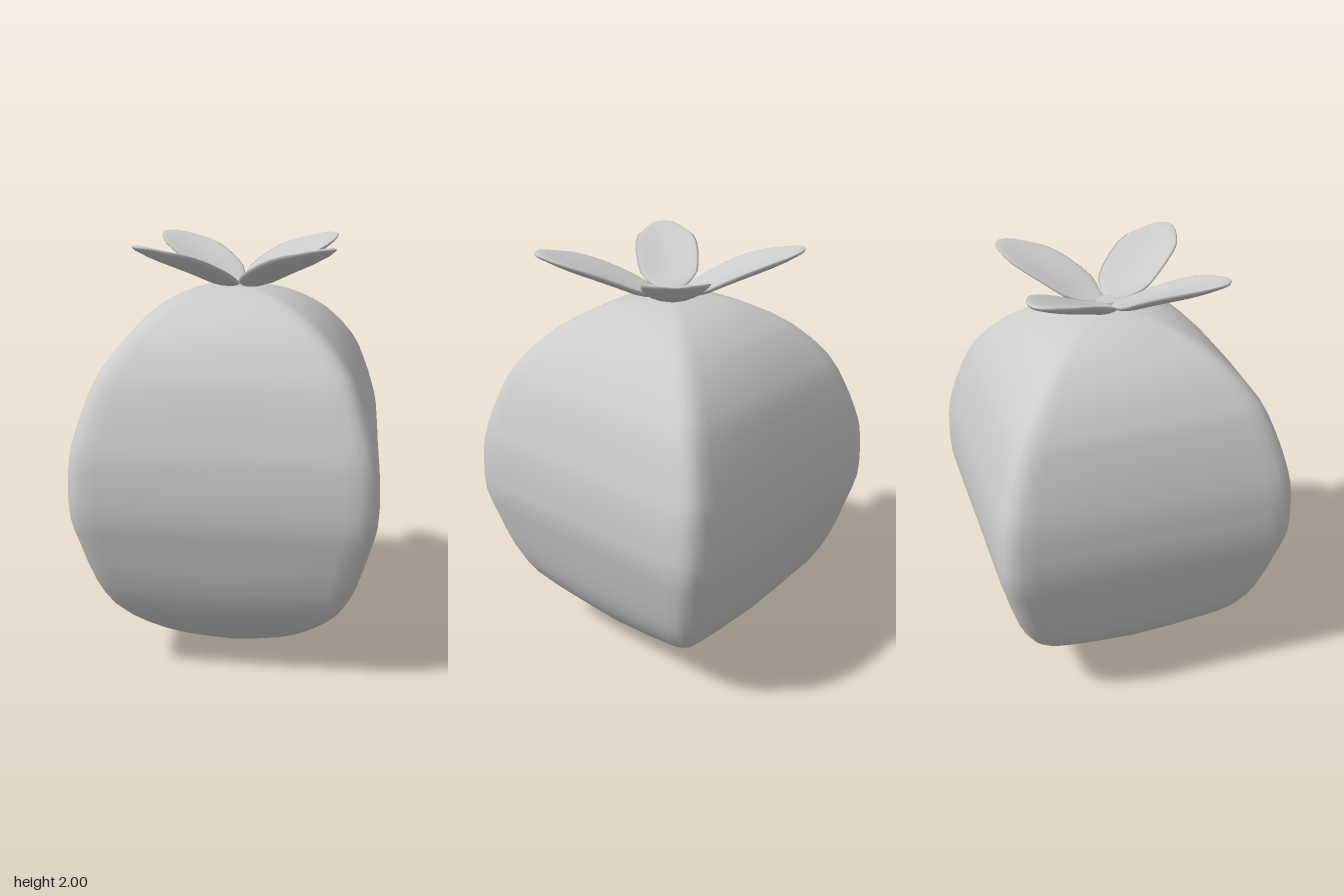
import * as THREE from 'three';

const material = new THREE.MeshStandardMaterial({ color: 0xcccccc });

// Smooth skin over a list of closed rings with equal point counts
function loft(rings) {
  const n = rings[0].length;
  const index = [];
  for (let i = 0; i < rings.length - 1; i++) {
    for (let j = 0; j < n; j++) {
      const k = (j + 1) % n;
      const a = i * n + j, b = (i + 1) * n + j, c = (i + 1) * n + k, d = i * n + k;
      index.push(a, b, c, a, c, d);
    }
  }
  const geometry = new THREE.BufferGeometry();
  geometry.setAttribute('position', new THREE.Float32BufferAttribute(rings.flat(2), 3));
  geometry.setIndex(index);
  geometry.computeVertexNormals();
  return geometry;
}

// Fruit: soft-cornered diamond sections along a round profile, rounder toward the poles
function makeFruit() {
  const quarter = [[1, 0.02], [0.98, 0.062], [0.935, 0.112], [0.78, 0.267], [0.5225, 0.5225],
    [0.267, 0.78], [0.112, 0.935], [0.062, 0.98], [0.02, 1]];
  const section = [];
  for (let q = 0; q < 4; q++) {
    const c = Math.round(Math.cos(q * Math.PI / 2)), s = Math.round(Math.sin(q * Math.PI / 2));
    for (const [x, z] of quarter) section.push([x * c - z * s, x * s + z * c]);
  }
  // [radius, height]
  const profile = [[0.001, 0.0], [0.19, 0.02], [0.37, 0.09], [0.56, 0.205],
    [0.72, 0.34], [0.815, 0.49], [0.888, 0.685], [0.931, 0.82], [0.934, 0.96], [0.92, 1.095],
    [0.888, 1.195], [0.825, 1.335], [0.745, 1.465], [0.56, 1.625], [0.368, 1.72], [0.2, 1.768], [0.001, 1.788]];
  const curve = new THREE.CatmullRomCurve3(profile.map(([r, y]) => new THREE.Vector3(r, y, 0)));
  return loft(curve.getPoints(32).map(({ x: r, y }) => {
    const round = 0.75 * (1 - Math.min(r / 0.93, 1)) ** 1.4;
    return section.map(([x, z]) => {
      const k = r * (1 + round * (1 / Math.hypot(x, z) - 1));
      return [x * k, y, z * k];
    });
  }));
}

// Leaf: thin cupped blade growing outward along +x
function makeLeaf(length) {
  // [fraction of length, half width, centre height, half thickness]
  const stations = [[0.05, 0.001, 1.797, 0.001], [0.06, 0.035, 1.797, 0.014], [0.13, 0.075, 1.8, 0.018],
    [0.2, 0.112, 1.808, 0.02], [0.27, 0.136, 1.82, 0.021], [0.37, 0.146, 1.845, 0.021],
    [0.5, 0.151, 1.876, 0.021], [0.62, 0.15, 1.903, 0.021], [0.73, 0.138, 1.928, 0.021],
    [0.84, 0.106, 1.954, 0.019], [0.92, 0.076, 1.974, 0.016], [0.97, 0.05, 1.985, 0.013],
    [0.993, 0.026, 1.989, 0.008], [1, 0.001, 1.991, 0.001]];
  const sides = 16;
  const rings = stations.map(([f, w, y, t]) => Array.from({ length: sides }, (_, j) => {
    const a = j / sides * Math.PI * 2;
    const z = Math.cos(a) * w;
    const cup = 1.6 * z * z;
    return [f * length, y + Math.sin(a) * t + cup, z];
  }));
  return loft(rings);
}

export function createModel() {
  const model = new THREE.Group();
  model.name = 'fruit with leaves';
  const add = (parent, geometry, name) => {
    const mesh = new THREE.Mesh(geometry, material);
    mesh.name = name;
    parent.add(mesh);
    return mesh;
  };

  add(model, makeFruit(), 'fruit').rotation.y = -0.03;

  // Four leaves around a small hub, the side pair slightly longer
  const crown = new THREE.Group();
  crown.name = 'crown';
  crown.position.set(0.017, 0, -0.012);
  crown.rotation.y = -0.045;
  model.add(crown);

  [0.612, 0.585, 0.612, 0.585].forEach((length, i) => {
    add(crown, makeLeaf(length), 'leaf').rotation.y = i * Math.PI / 2;
  });

  const hub = add(crown, new THREE.CylinderGeometry(0.055, 0.07, 0.035, 8), 'hub');
  hub.position.y = 1.795;
  return model;
}
